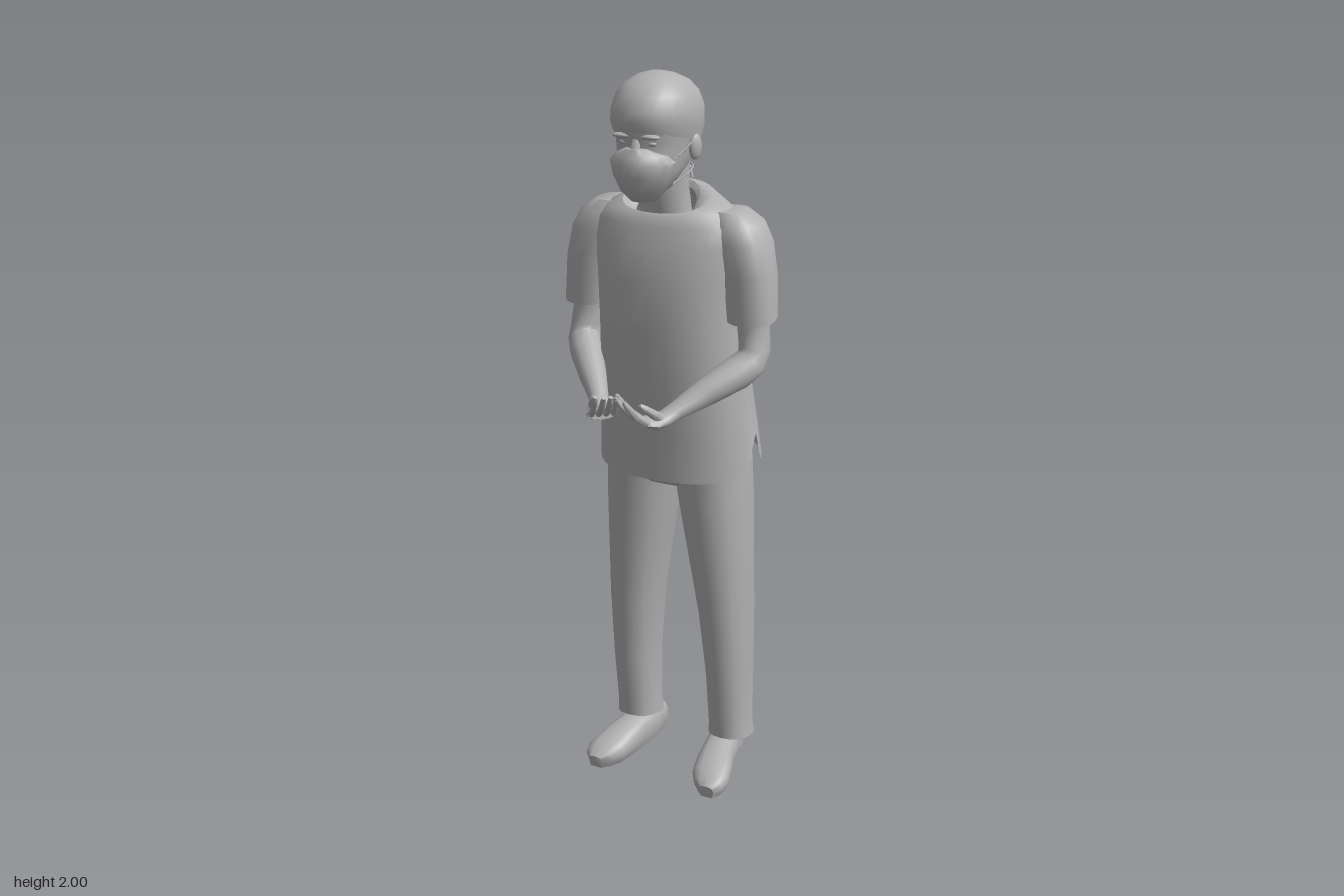
import * as THREE from 'three';
import { toCreasedNormals } from 'three/addons/utils/BufferGeometryUtils.js';

const V = (x, y, z) => new THREE.Vector3(x, y, z);
const spow = (v, e) => Math.sign(v) * Math.abs(v) ** e;

// Skin over a list of closed rings of equal length, with optional end caps.
function skin(rings, capStart = true, capEnd = true, crease = 0.8) {
  const n = rings[0].length, pos = [], idx = [];
  rings.flat().forEach(p => pos.push(p.x, p.y, p.z));
  for (let i = 0; i < rings.length - 1; i++) {
    for (let j = 0; j < n; j++) {
      const a = i * n + j, b = i * n + (j + 1) % n;
      idx.push(a, a + n, b, b, a + n, b + n);
    }
  }
  const cap = (r, flip) => {
    const c = rings[r].reduce((s, p) => s.add(p), V(0, 0, 0)).divideScalar(n);
    const k = pos.length / 3;
    pos.push(c.x, c.y, c.z);
    for (let j = 0; j < n; j++) {
      const a = r * n + j, b = r * n + (j + 1) % n;
      if (flip) idx.push(k, b, a); else idx.push(k, a, b);
    }
  };
  if (capStart) cap(0, false);
  if (capEnd) cap(rings.length - 1, true);
  const g = new THREE.BufferGeometry();
  g.setAttribute('position', new THREE.Float32BufferAttribute(pos, 3));
  g.setIndex(idx);
  return toCreasedNormals(g, crease);
}

// Level ring: height, half width, front z, back z, forward tilt, centre x.
function level([y, w, zf, zb, tilt = 0, cx = 0], n, e) {
  return Array.from({ length: n }, (_, j) => {
    const t = j / n * Math.PI * 2, c = spow(Math.cos(t), e), s = spow(Math.sin(t), e);
    return V(cx + w * c, y - tilt * s, (zf + zb) / 2 + (zf - zb) / 2 * s);
  });
}
const stack = (rows, n = 24, e = 0.85) => rows.map(r => level(r, n, e));

// Rings across a path; each row is x, y, z, half width along `side`, half thickness.
function limb(rows, side, n = 12, e = 1) {
  const pts = rows.map(r => V(r[0], r[1], r[2])), last = pts.length - 1;
  return rows.map(([, , , a, b = a], i) => {
    const t = pts[Math.min(i + 1, last)].clone().sub(pts[Math.max(i - 1, 0)]).normalize();
    const up = side.clone().cross(t).normalize();
    return Array.from({ length: n }, (_, j) => {
      const q = j / n * Math.PI * 2;
      return pts[i].clone().addScaledVector(side, a * spow(Math.cos(q), e))
        .addScaledVector(up, b * spow(Math.sin(q), e));
    });
  });
}

export function createModel() {
  const model = new THREE.Group();
  const grey = new THREE.MeshStandardMaterial({ color: 0xb0b0b0, side: THREE.DoubleSide });
  grey.name = 'plain grey';
  const add = (name, geo, parent = model) => {
    const m = new THREE.Mesh(geo, grey);
    m.name = name;
    parent.add(m);
    return m;
  };
  const cord = (name, pts, r = 0.003) => add(name, new THREE.TubeGeometry(
    new THREE.CatmullRomCurve3(pts.map(p => V(...p))), 10, r, 5));
  const blob = (name, x, y, z, sx, sy, sz) => {
    const m = add(name, new THREE.SphereGeometry(1, 14, 10));
    m.position.set(x, y, z);
    m.scale.set(sx, sy, sz);
    return m;
  };

  // Loose tunic, open below, with a notch at each side of the hem
  const tunic = stack([
    [0.945, 0.222, 0.05, -0.3, 0.018], [1.06, 0.213, 0.06, -0.28], [1.2, 0.2, 0.075, -0.25],
    [1.35, 0.19, 0.09, -0.215], [1.48, 0.192, 0.09, -0.197], [1.57, 0.2, 0.075, -0.18],
    [1.62, 0.195, 0.06, -0.165, 0.002], [1.655, 0.165, 0.052, -0.148, 0.01],
    [1.68, 0.118, 0.045, -0.122, 0.03], [1.67, 0.088, 0.04, -0.1, 0.045],
    [1.655, 0.078, 0.03, -0.09, 0.045]], 32);
  for (const j of [0, 16]) tunic[0][j].y = 1.04;
  add('tunic', skin(tunic, false, false));
  cord('tunicWrapSeam', [[0.035, 1.615, 0.058], [0, 1.555, 0.078], [-0.05, 1.49, 0.088]], 0.002);

  // Neck, face and ears
  add('neck', skin(stack([[1.58, 0.075, 0.02, -0.09], [1.65, 0.066, 0.025, -0.09],
    [1.71, 0.06, 0.045, -0.092], [1.8, 0.065, 0.06, -0.095]], 18, 1)));
  add('face', skin(stack([[1.7, 0.03, 0.125, 0.05], [1.725, 0.06, 0.145, 0.01],
    [1.77, 0.08, 0.145, -0.06], [1.81, 0.09, 0.14, -0.09], [1.835, 0.095, 0.136, -0.102],
    [1.86, 0.099, 0.146, -0.106], [1.9, 0.1, 0.145, -0.108]], 24, 0.9)));
  add('nose', skin(stack([[1.77, 0.017, 0.17, 0.12], [1.82, 0.013, 0.157, 0.12],
    [1.85, 0.01, 0.146, 0.12]], 10, 1)));

  // Tied cap
  add('cap', skin(stack([[1.838, 0.1, 0.148, -0.11, -0.03], [1.875, 0.109, 0.156, -0.122, -0.015],
    [1.915, 0.108, 0.154, -0.12], [1.95, 0.096, 0.138, -0.102], [1.975, 0.075, 0.112, -0.072],
    [1.992, 0.045, 0.076, -0.03], [1.999, 0.018, 0.045, 0.003]], 28, 0.95), false, true, 1.2));

  // Face mask, pinched towards the front
  add('mask', skin(stack([[1.694, 0.032, 0.132, 0.06], [1.72, 0.058, 0.158, 0.03],
    [1.76, 0.077, 0.173, 0.02], [1.79, 0.084, 0.177, 0.02], [1.81, 0.07, 0.17, 0.04],
    [1.828, 0.03, 0.161, 0.08]], 20, 1.05)));

  for (const s of [1, -1]) {
    const tag = s > 0 ? 'left' : 'right';
    const ear = blob(tag + 'Ear', s * 0.101, 1.82, 0.012, 0.012, 0.033, 0.02);
    ear.rotation.y = -s * 0.35;
    blob(tag + 'Brow', s * 0.038, 1.857, 0.135, 0.027, 0.007, 0.014);
    blob(tag + 'Eye', s * 0.037, 1.839, 0.123, 0.014, 0.007, 0.01);
    cord(tag + 'UpperMaskStrap', [[s * 0.078, 1.8, 0.08], [s * 0.095, 1.825, 0.04],
      [s * 0.1, 1.845, 0], [s * 0.07, 1.845, -0.085], [0, 1.84, -0.117]]);
    cord(tag + 'LowerMaskStrap', [[s * 0.066, 1.735, 0.06], [s * 0.076, 1.75, 0],
      [s * 0.06, 1.76, -0.06], [0, 1.755, -0.1]]);
    // Loops and loose ends of the two bows
    cord(tag + 'BowLoop', [[0, 1.84, -0.118], [s * 0.018, 1.865, -0.14], [s * 0.014, 1.9, -0.15],
      [s * 0.004, 1.87, -0.14], [0, 1.84, -0.118]]);
    cord(tag + 'BowEnd', [[0, 1.84, -0.118], [s * 0.014, 1.825, -0.135], [s * 0.022, 1.8, -0.135]]);
    cord(tag + 'NeckTie', [[0, 1.755, -0.1], [s * 0.02, 1.75, -0.118], [s * 0.035, 1.715, -0.112]]);
  }
  cord('looseTie', [[0, 1.84, -0.118], [0.025, 1.88, -0.14], [0.02, 1.915, -0.152]]);

  // Hips of the trousers
  add('trouserHips', skin(stack([[0.89, 0.17, -0.02, -0.235], [0.92, 0.2, 0.012, -0.25],
    [0.98, 0.2, 0.015, -0.25], [1.1, 0.185, 0.01, -0.235]])));

  for (const s of [1, -1]) {
    const side = new THREE.Group();
    side.name = s > 0 ? 'leftLimbs' : 'rightLimbs';
    model.add(side);
    const mx = rows => rows.map(([x, ...r]) => [s * x, ...r]);
    const tube = (name, rows, axis, n, e) => add(name, skin(limb(mx(rows), axis, n, e)), side);
    const lev = rows => rows.map(r => [...r.slice(0, 5), s * r[5]]);

    // Trouser leg
    add('trouserLeg', skin(stack(lev([
      [0.085, 0.062, -0.085, -0.245, -0.016, 0.148], [0.13, 0.058, -0.08, -0.24, -0.01, 0.147],
      [0.3, 0.061, -0.058, -0.24, 0, 0.147], [0.5, 0.071, -0.035, -0.24, 0, 0.139],
      [0.7, 0.085, -0.012, -0.245, 0, 0.122], [0.85, 0.096, 0.004, -0.248, 0, 0.109],
      [0.95, 0.1, 0.012, -0.25, 0, 0.1]]), 16, 0.9), false, true, 0.65), side);

    // Ankle and shoe, toes turned slightly out
    tube('ankle', [[0.14, 0.04, -0.165, 0.042], [0.145, 0.2, -0.165, 0.042]], V(1, 0, 0));
    const shoe = limb(mx([[0.124, 0.04, -0.243, 0.022, 0.03], [0.126, 0.046, -0.22, 0.04, 0.046],
      [0.132, 0.05, -0.16, 0.046, 0.052], [0.142, 0.047, -0.09, 0.047, 0.05],
      [0.155, 0.04, -0.03, 0.054, 0.042], [0.166, 0.032, 0.02, 0.055, 0.034],
      [0.173, 0.026, 0.05, 0.044, 0.026], [0.177, 0.022, 0.071, 0.022, 0.015]]), V(1, 0, 0), 16, 0.75);
    shoe.flat().forEach(p => { if (p.y < 0.012) p.y = 0; });
    add('shoe', skin(shoe), side);

    // Short sleeve
    add('sleeve', skin(stack(lev([
      [1.382, 0.065, 0.01, -0.11, 0.01, 0.236], [1.5, 0.067, 0.018, -0.127, 0, 0.226],
      [1.58, 0.073, 0.018, -0.138, 0, 0.204], [1.625, 0.068, 0.01, -0.138, 0, 0.185],
      [1.655, 0.045, -0.012, -0.118, 0, 0.165]]), 16), false, true), side);

    // Bent arm running into an upturned palm
    const across = V(s * 0.78, 0, 0.626).normalize();
    tube('arm', [[0.235, 1.45, -0.055, 0.045], [0.24, 1.36, -0.052, 0.043], [0.247, 1.305, -0.045, 0.042],
      [0.245, 1.272, -0.03, 0.044], [0.22, 1.247, 0.005, 0.045], [0.165, 1.208, 0.073, 0.037],
      [0.113, 1.17, 0.135, 0.026, 0.024], [0.094, 1.155, 0.165, 0.03, 0.02],
      [0.077, 1.15, 0.195, 0.037, 0.017], [0.058, 1.158, 0.222, 0.036, 0.012]], across, 14);

    // Fingers fan from the far edge of the palm and curl up
    for (let i = 0; i < 4; i++) {
      const k = (i - 1.5) * 0.019, len = [0.062, 0.075, 0.078, 0.068][i];
      const at = (d, y, r) => [0.06 + 0.78 * k - 0.63 * d, y, 0.215 + 0.626 * k + 0.78 * d, r];
      tube('finger', [at(0, 1.158, 0.009), at(len * 0.45, 1.18, 0.009),
        at(len * 0.85, 1.212, 0.008), at(len, 1.228, 0.005)], across, 8);
    }
    tube('thumb', [[0.094, 1.155, 0.185, 0.014], [0.089, 1.178, 0.212, 0.012],
      [0.074, 1.198, 0.235, 0.01], [0.064, 1.21, 0.245, 0.005]], across, 8);
  }
  return model;
}
